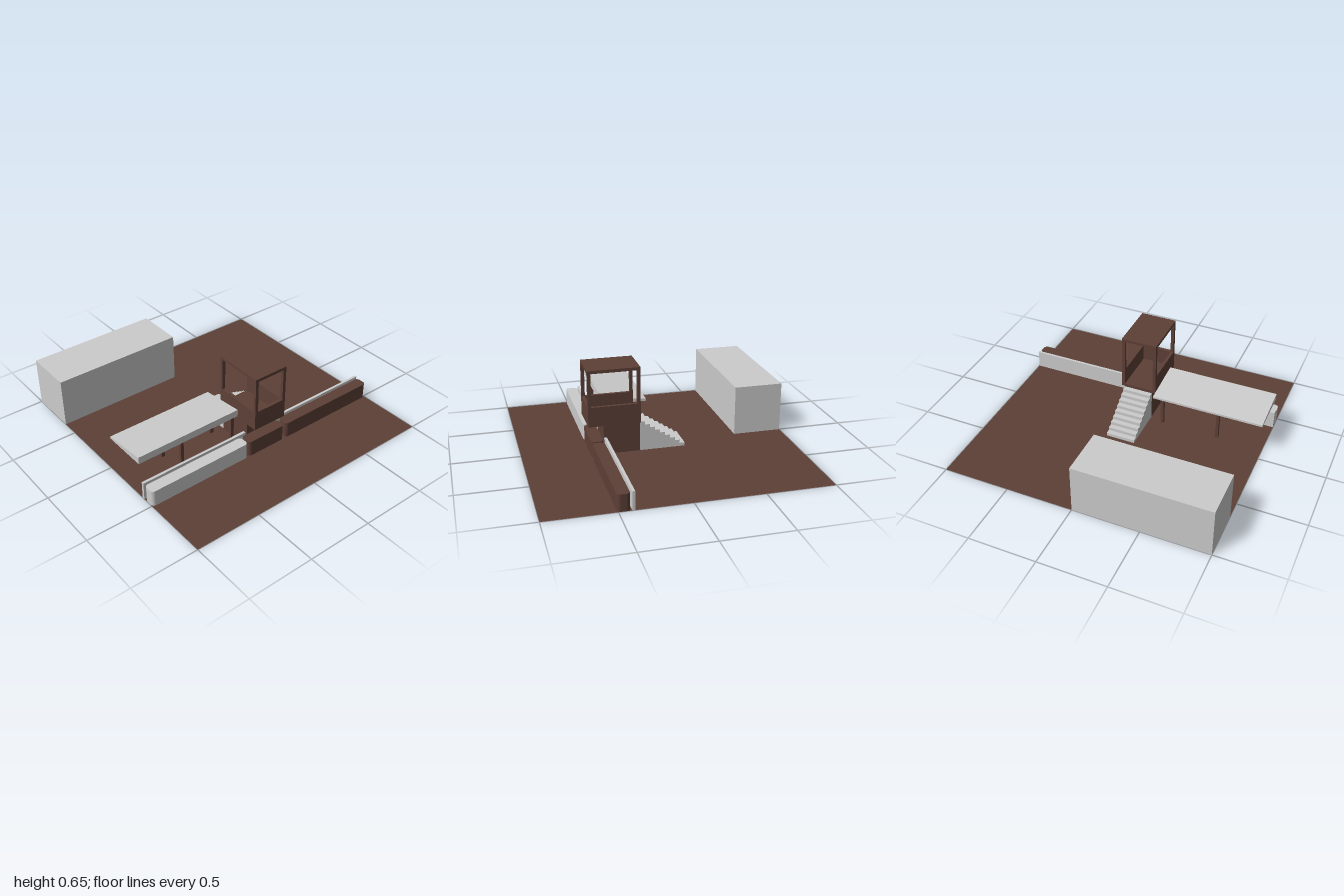
import * as THREE from 'three';

const grey = new THREE.MeshStandardMaterial({ color: 0xcccccc });
const brown = new THREE.MeshStandardMaterial({ color: 0x5d4037 });
const brownThin = new THREE.MeshStandardMaterial({ color: 0x5d4037, side: THREE.DoubleSide });

export function createModel() {
  const model = new THREE.Group();

  function add(name, geometry, material, parent = model) {
    const mesh = new THREE.Mesh(geometry, material);
    mesh.name = name;
    parent.add(mesh);
    return mesh;
  }

  // Box given by its extents on each axis
  function box(name, [x0, x1], [y0, y1], [z0, z1], material, parent) {
    const mesh = add(name, new THREE.BoxGeometry(x1 - x0, y1 - y0, z1 - z0), material, parent);
    mesh.position.set((x0 + x1) / 2, (y0 + y1) / 2, (z0 + z1) / 2);
    return mesh;
  }

  // Side profile of [z, y] points, extruded along x
  function sideProfile(name, points, x0, x1, material) {
    const shape = new THREE.Shape(points.map(([z, y]) => new THREE.Vector2(-z, y)));
    const geometry = new THREE.ExtrudeGeometry(shape, { depth: x1 - x0, bevelEnabled: false });
    geometry.rotateY(Math.PI / 2).translate(x0, 0, 0);
    return add(name, geometry, material);
  }

  // Low block with rounded vertical corners
  function roundedBlock(name, x0, x1, material) {
    const z0 = 0.42, z1 = 0.508, r = 0.027, height = 0.123;
    const shape = new THREE.Shape();
    shape.absarc(x1 - r, -z0 - r, r, 0, Math.PI / 2);
    shape.absarc(x0 + r, -z0 - r, r, Math.PI / 2, Math.PI);
    shape.absarc(x0 + r, -z1 + r, r, Math.PI, Math.PI * 1.5);
    shape.absarc(x1 - r, -z1 + r, r, Math.PI * 1.5, Math.PI * 2);
    const geometry = new THREE.ExtrudeGeometry(shape, { depth: height, bevelEnabled: false, curveSegments: 5 });
    geometry.rotateX(-Math.PI / 2);
    return add(name, geometry, material);
  }

  // Ground and rear building
  add('ground', new THREE.PlaneGeometry(2, 2).rotateX(-Math.PI / 2), brownThin);
  box('building', [-1, 0], [0, 0.378], [-1, -0.63], grey);

  // Front walls and the rounded blocks before them
  box('rightWall', [-1, -0.125], [0, 0.135], [0.39, 0.41], grey);
  box('leftWall', [0.123, 1], [0, 0.135], [0.39, 0.41], grey);
  roundedBlock('rightBlock', -1, -0.18, grey);
  roundedBlock('middleBlock', -0.172, 0.158, brown);
  roundedBlock('leftBlock', 0.175, 1, brown);

  // Tower base and cabin, open at the back where the stairs arrive
  const tower = new THREE.Group();
  tower.name = 'tower';
  model.add(tower);
  const X0 = -0.137, X1 = 0.135, Z0 = 0.14, Z1 = 0.525, T = 0.024;
  box('towerBase', [-0.11, 0.11], [0, 0.23], [Z0, 0.41], brown, tower);
  box('cabinFloor', [X0, X1], [0.23, 0.25], [Z0, Z1], brown, tower);
  box('cabinRoof', [X0, X1], [0.63, 0.653], [Z0, Z1], brown, tower);
  box('cabinFrontWall', [X0 + T, X1 - T], [0.25, 0.378], [Z1 - T, Z1], brown, tower);
  for (const [x0, x1] of [[X0, X0 + T], [X1 - T, X1]]) {
    box('cabinSideWall', [x0, x1], [0.25, 0.378], [Z0 + T, Z1 - T], brown, tower);
    for (const z of [Z0, Z1 - T]) box('cabinPost', [x0, x1], [0.25, 0.63], [z, z + T], brown, tower);
  }

  // Stairs climbing towards the tower
  const steps = 9, back = -0.2, tread = (Z0 - back) / steps, rise = 0.025;
  const profile = [[Z0, 0], [back, 0]];
  for (let i = 0; i < steps; i++) {
    profile.push([back + i * tread, (i + 1) * rise], [back + (i + 1) * tread, (i + 1) * rise]);
  }
  sideProfile('stairs', profile, -0.11, 0.11, grey);

  // Wedge canopy on four posts
  sideProfile('canopyRoof', [[0.37, 0.276], [0.025, 0.276], [0.025, 0.292], [0.37, 0.33]], -1, -0.165, grey);
  for (const x of [-0.646, -0.209]) {
    for (const z of [0.117, 0.354]) {
      box('canopyPost', [x - 0.012, x + 0.012], [0, 0.276], [z - 0.012, z + 0.012], brown);
    }
  }

  return model;
}
